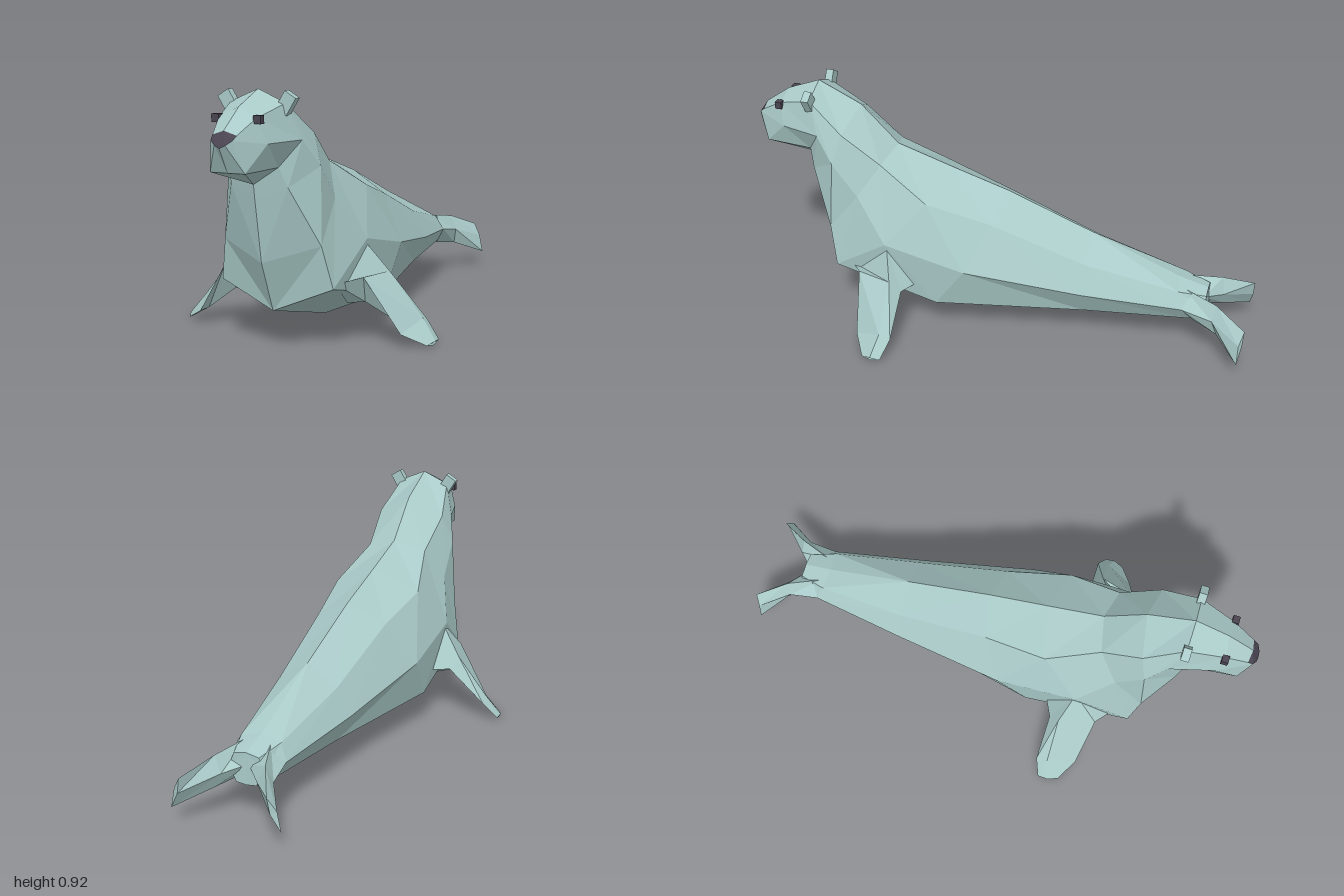
import * as THREE from 'three';

// Flat-shaded skin over a list of rings; the ends are closed on request.
function loft(rings, capStart, capEnd) {
  const pos = [];
  const tri = (a, b, c) => pos.push(...a, ...b, ...c);
  const n = rings[0].length;
  for (let i = 0; i < rings.length - 1; i++) {
    const r = rings[i], s = rings[i + 1];
    for (let j = 0; j < n; j++) {
      const k = (j + 1) % n;
      // mirror the quad diagonals so both flanks match
      if (j < n / 2) { tri(r[j], r[k], s[k]); tri(r[j], s[k], s[j]); }
      else { tri(r[j], r[k], s[j]); tri(r[k], s[k], s[j]); }
    }
  }
  const cap = (r, flip) => {
    for (let j = 1; j < n - 1; j++) flip ? tri(r[0], r[j + 1], r[j]) : tri(r[0], r[j], r[j + 1]);
  };
  if (capStart) cap(rings[0], true);
  if (capEnd) cap(rings[rings.length - 1], false);
  const g = new THREE.BufferGeometry();
  g.setAttribute('position', new THREE.Float32BufferAttribute(pos, 3));
  g.computeVertexNormals();
  return g;
}

const flipX = ([x, y, z]) => [-x, y, z];
const mirrorRings = rings => rings.map(r => r.map(flipX).reverse());
// Half section (spine, upper, side, lower, keel) to a closed ring
const closeRing = h => [...h, ...h.slice(1, -1).reverse().map(flipX)];

export function createModel() {
  const group = new THREE.Group();
  const skin = new THREE.MeshStandardMaterial({ color: 0xa9cac8, flatShading: true });
  skin.name = 'pale teal skin';
  const dark = new THREE.MeshStandardMaterial({ color: 0x4a4552, flatShading: true });
  dark.name = 'dark eyes and nose';
  const add = (name, geo, mat) => {
    const m = new THREE.Mesh(geo, mat);
    m.name = name;
    group.add(m);
    return m;
  };

  // Head, neck and body
  const nose = closeRing([[0, 0.8, 0.97], [0.045, 0.785, 0.965], [0.04, 0.77, 0.985], [0.02, 0.755, 0.997], [0, 0.745, 1]]);
  const head = [
    nose,
    closeRing([[0, 0.87, 0.87], [0.07, 0.835, 0.88], [0.1, 0.75, 0.86], [0.065, 0.66, 0.95], [0, 0.66, 0.95]]),
    closeRing([[0, 0.92, 0.74], [0.105, 0.875, 0.74], [0.145, 0.75, 0.7], [0.085, 0.66, 0.76], [0, 0.6, 0.78]]),
  ];
  const body = [
    head[2],
    closeRing([[0, 0.84, 0.57], [0.14, 0.765, 0.6], [0.18, 0.655, 0.63], [0.11, 0.59, 0.74], [0, 0.55, 0.772]]),
    closeRing([[0, 0.69, 0.42], [0.125, 0.65, 0.45], [0.185, 0.53, 0.53], [0.19, 0.38, 0.65], [0, 0.32, 0.73]]),
    closeRing([[0, 0.62, 0.2], [0.18, 0.54, 0.25], [0.25, 0.37, 0.4], [0.22, 0.225, 0.62], [0, 0.135, 0.65]]),
    closeRing([[0, 0.55, -0.03], [0.145, 0.47, 0], [0.25, 0.3, 0.08], [0.235, 0.13, 0.2], [0, 0.03, 0.23]]),
    closeRing([[0, 0.42, -0.37], [0.12, 0.34, -0.37], [0.175, 0.235, -0.37], [0.12, 0.13, -0.37], [0, 0.045, -0.35]]),
    closeRing([[0, 0.28, -0.72], [0.08, 0.26, -0.73], [0.11, 0.2, -0.75], [0.07, 0.14, -0.78], [0, 0.12, -0.78]]),
    closeRing([[0, 0.25, -0.835], [0.05, 0.24, -0.835], [0.07, 0.19, -0.835], [0.04, 0.135, -0.84], [0, 0.13, -0.84]]),
  ];
  add('head', loft(head, false, false), skin);
  add('body', loft(body, false, true), skin);
  add('nose', loft([nose, nose], true, false), dark);

  // Front flippers: rings run front, bottom, back, top
  const flipper = [
    [[0.2, 0.23, 0.56], [0.18, 0.13, 0.42], [0.2, 0.2, 0.27], [0.23, 0.37, 0.4]],
    [[0.28, 0.25, 0.5], [0.265, 0.15, 0.45], [0.3, 0.2, 0.32], [0.32, 0.25, 0.36]],
    [[0.41, 0.05, 0.47], [0.42, 0.045, 0.39], [0.45, 0.075, 0.315], [0.45, 0.09, 0.36]],
    [[0.49, 0.006, 0.42], [0.5, 0, 0.38], [0.505, 0.012, 0.34], [0.507, 0.016, 0.38]],
  ];
  add('leftFrontFlipper', loft(flipper, true, true), skin);
  add('rightFrontFlipper', loft(mirrorRings(flipper), true, true), skin);

  // Tail flippers: rings run top, outer, bottom, inner
  const tail = [
    [[0.05, 0.26, -0.75], [0.11, 0.2, -0.75], [0.06, 0.13, -0.79], [0, 0.2, -0.82]],
    [[0.1, 0.24, -0.88], [0.125, 0.18, -0.87], [0.11, 0.115, -0.89], [0.07, 0.18, -0.89]],
    [[0.17, 0.19, -1], [0.2, 0.14, -0.985], [0.215, 0.065, -0.985], [0.18, 0.13, -0.997]],
  ];
  add('leftTailFlipper', loft(tail, true, true), skin);
  add('rightTailFlipper', loft(mirrorRings(tail), true, true), skin);

  // Ears and eyes
  for (const [side, s] of [['left', 1], ['right', -1]]) {
    const ear = add(side + 'Ear', new THREE.BoxGeometry(0.048, 0.07, 0.03), skin);
    ear.position.set(s * 0.11, 0.875, 0.74);
    ear.rotation.z = -s * 0.55;
    const eye = add(side + 'Eye', new THREE.BoxGeometry(0.028, 0.028, 0.025), dark);
    eye.position.set(s * 0.078, 0.831, 0.88);
  }
  return group;
}
